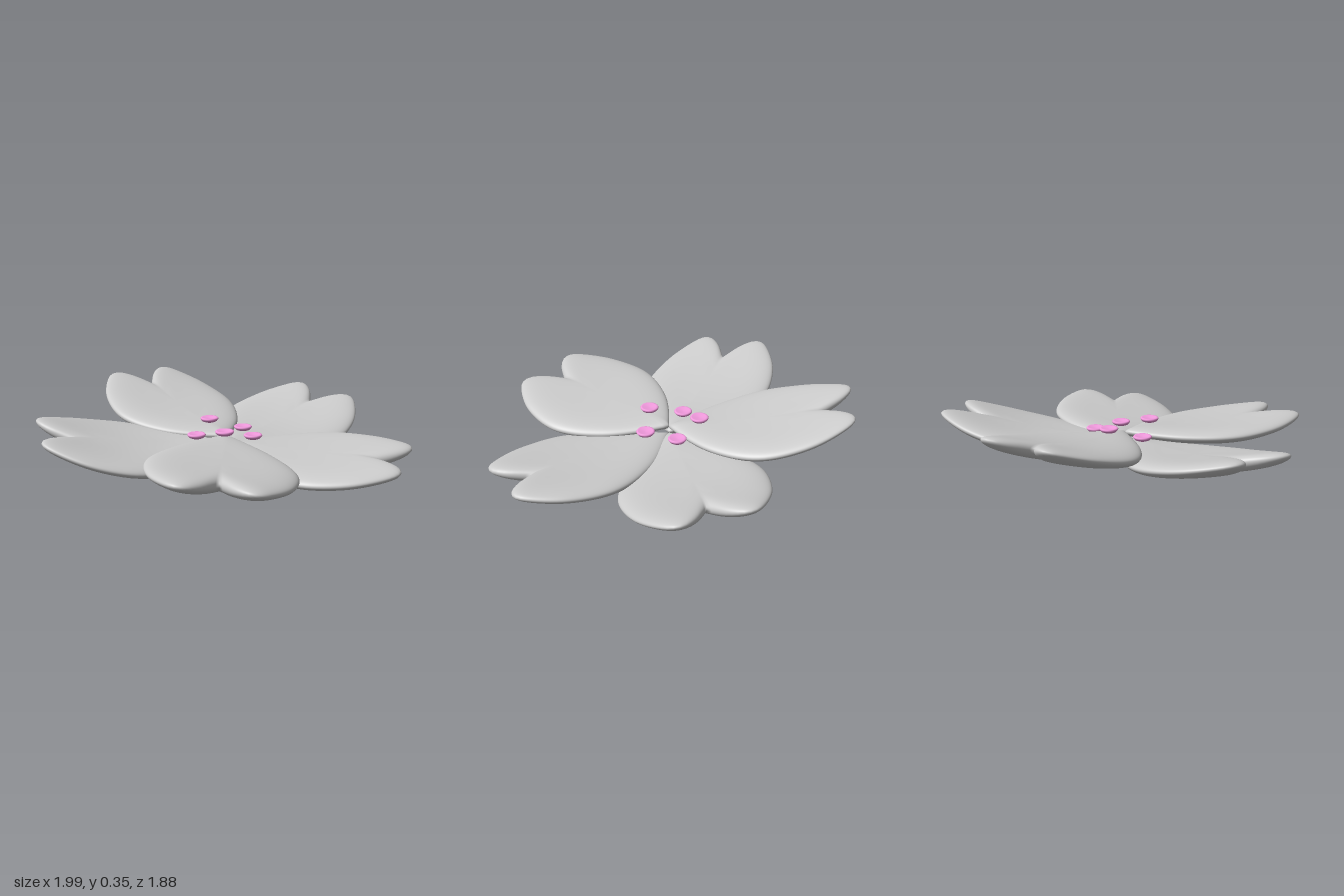
import * as THREE from 'three';
import { mergeVertices } from 'three/addons/utils/BufferGeometryUtils.js';

const CENTRE_Z = 0.03;

// Half of the notched petal outline: [sideways, outward], from base to notch.
const half = new THREE.SplineCurve([
  [0, 0], [0.125, 0.11], [0.24, 0.24], [0.335, 0.41], [0.365, 0.57], [0.325, 0.77],
  [0.23, 0.93], [0.155, 0.97], [0.075, 0.92], [0, 0.81],
].map(([x, y]) => new THREE.Vector2(x, y))).getSpacedPoints(48);
const outline = [
  ...half,
  ...half.slice(0, -1).reverse().map((p) => new THREE.Vector2(-p.x, p.y)),
];

// Puffy closed petal pointing to -z; its middle surface sags, lifts and rolls.
function petalGeometry({ base, slope, lift, roll, size }) {
  const rings = 40;
  const middle = 0.52;
  const positions = [];
  const indices = [];
  outline.forEach((p) => {
    for (let j = 0; j <= rings; j++) {
      const angle = (j / rings) * Math.PI;
      const s = Math.max(0, Math.sin(angle)) ** 0.4;
      const side = p.x * s;
      const out = middle + (p.y - middle) * s;
      const thickness = 0.045 * Math.cos(angle);
      const y = base + slope * out + lift * out * out + roll * side + 0.05 * side * side;
      positions.push(side * size, y + thickness, -out * size);
    }
  });
  for (let i = 0; i < outline.length - 1; i++) {
    for (let j = 0; j < rings; j++) {
      const a = i * (rings + 1) + j;
      const d = a + rings + 1;
      if (j < rings - 1) indices.push(a, a + 1, d + 1);
      if (j > 0) indices.push(a, d + 1, d);
      if (j === rings - 1) indices.push(a, a + 1, d);
    }
  }
  const geometry = new THREE.BufferGeometry();
  geometry.setAttribute('position', new THREE.Float32BufferAttribute(positions, 3));
  geometry.setIndex(indices);
  const welded = mergeVertices(geometry, 1e-5);
  welded.computeVertexNormals();
  return welded;
}

export function createModel() {
  const model = new THREE.Group();
  model.name = 'flower';

  // Five petals, counterclockwise from the back, stacked at different heights
  const petalMaterial = new THREE.MeshStandardMaterial({ color: 0xcccccc });
  const petals = [
    { name: 'backPetal', base: 0.14, slope: -0.05, lift: 0.255, roll: 0, size: 1 },
    { name: 'rightPetal', base: 0.106, slope: -0.14, lift: 0.28, roll: 0.1, size: 1.02 },
    { name: 'frontRightPetal', base: 0.14, slope: -0.14, lift: 0.168, roll: 0.1, size: 1.02 },
    { name: 'frontLeftPetal', base: 0.092, slope: -0.14, lift: 0.155, roll: -0.1, size: 1 },
    { name: 'leftPetal', base: 0.096, slope: -0.145, lift: 0.28, roll: -0.1, size: 1.02 },
  ];
  petals.forEach((petal, k) => {
    const mesh = new THREE.Mesh(petalGeometry(petal), petalMaterial);
    mesh.name = petal.name;
    mesh.rotation.y = (k * Math.PI * 2) / 5;
    mesh.position.z = CENTRE_Z;
    model.add(mesh);
  });

  // Small dished pink buttons around the centre
  const stamenMaterial = new THREE.MeshStandardMaterial({ color: 0xf49ce0 });
  const stamenProfile = [
    [0, -0.014], [0.025, -0.013], [0.04, -0.007], [0.048, 0.002], [0.05, 0.008],
    [0.046, 0.013], [0.038, 0.013], [0.02, 0.009], [0, 0.008],
  ].map(([x, y]) => new THREE.Vector2(x, y));
  const stamenGeometry = new THREE.LatheGeometry(stamenProfile, 32);
  const stamens = new THREE.Group();
  stamens.name = 'stamens';
  [
    [0, 0.198, -0.135], [-0.147, 0.15, -0.035], [-0.087, 0.198, 0.145],
    [0.095, 0.151, 0.145], [0.152, 0.151, -0.03],
  ].forEach(([x, y, z]) => {
    const stamen = new THREE.Mesh(stamenGeometry, stamenMaterial);
    stamen.name = 'stamen';
    stamen.position.set(x, y, z);
    stamens.add(stamen);
  });
  model.add(stamens);

  return model;
}
